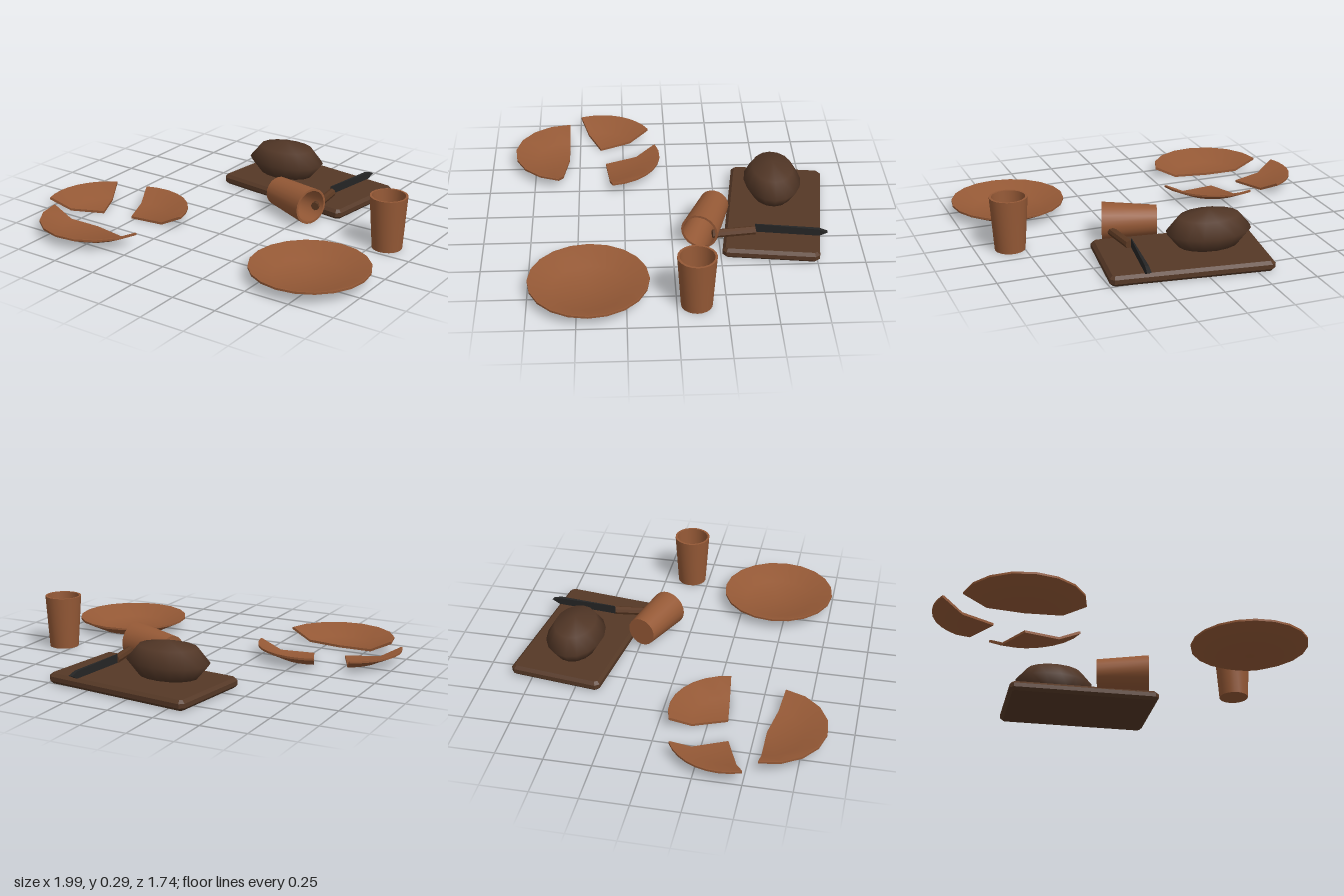
import * as THREE from 'three';
import { toCreasedNormals } from 'three/addons/utils/BufferGeometryUtils.js';

const clay = new THREE.MeshStandardMaterial({ color: 0x955936, side: THREE.DoubleSide });
clay.name = 'terracotta';
const wood = new THREE.MeshStandardMaterial({ color: 0x553826 });
wood.name = 'dark wood';
const crust = new THREE.MeshStandardMaterial({ color: 0x513626 });
crust.name = 'bread crust';
const grip = new THREE.MeshStandardMaterial({ color: 0x5a3822 });
grip.name = 'handle wood';
const iron = new THREE.MeshStandardMaterial({ color: 0x252525 });
iron.name = 'dark iron';

const points = (list) => list.map(([x, y]) => new THREE.Vector2(x, y));
const plateProfile = points([[0, 0], [0.19, 0], [0.31, 0.057], [0.31, 0.068], [0.3, 0.068], [0.19, 0.013], [0, 0.013]]);
const cupProfile = points([[0, 0], [0.08, 0], [0.1, 0.29], [0.088, 0.29], [0.072, 0.02], [0, 0.02]]);

function addMesh(parent, name, geometry, material) {
  const mesh = new THREE.Mesh(geometry, material);
  mesh.name = name;
  parent.add(mesh);
  return mesh;
}

function lathe(profile, segments, start = 0, length = Math.PI * 2) {
  return toCreasedNormals(new THREE.LatheGeometry(profile, segments, start, length), 0.52);
}

// A plate sector between two angles (degrees from +x towards +z), closed at both breaks
function addShard(parent, x, z, from, to, segments) {
  const rad = THREE.MathUtils.degToRad;
  const shard = new THREE.Group();
  shard.name = 'plateShard';
  shard.position.set(x, 0, z);
  addMesh(shard, 'shardDish', lathe(plateProfile, segments, rad(90 - to), rad(to - from)), clay);
  for (const angle of [from, to]) {
    const edge = addMesh(shard, 'brokenEdge', new THREE.ShapeGeometry(new THREE.Shape(plateProfile)), clay);
    edge.rotation.y = -rad(angle);
  }
  parent.add(shard);
}

export function createModel() {
  const model = new THREE.Group();
  model.name = 'tableware';

  // Whole plate and the broken one
  addMesh(model, 'plate', lathe(plateProfile, 20), clay).position.set(0.68, 0, 0.44);
  addShard(model, -0.58, 0.56, 10, 180, 8);
  addShard(model, -0.52, 0.35, -112, -7, 8);
  addShard(model, -0.69, 0.38, 158, 245, 8);

  // Standing cup and tipped cup
  addMesh(model, 'standingCup', lathe(cupProfile, 20), clay).position.set(0.82, 0, -0.1);
  const tipped = addMesh(model, 'tippedCup', lathe(cupProfile, 20), clay);
  tipped.position.set(0.055, 0.1, -0.237);
  tipped.rotation.set(0, -0.34, -Math.PI / 2);

  // Cutting board with chamfered edges and corners
  const bevel = 0.016, w = 0.425 - bevel, d = 0.254 - bevel, c = 0.012;
  const outline = new THREE.Shape(points([
    [-w + c, -d], [w - c, -d], [w, -d + c], [w, d - c],
    [w - c, d], [-w + c, d], [-w, d - c], [-w, -d + c],
  ]));
  const boardGeometry = new THREE.ExtrudeGeometry(outline, {
    depth: 0.055 - 2 * bevel, bevelEnabled: true, bevelSize: bevel, bevelThickness: bevel, bevelSegments: 1,
  });
  boardGeometry.rotateX(-Math.PI / 2);
  const board = addMesh(model, 'cuttingBoard', boardGeometry, wood);
  board.position.set(0.047, bevel, -0.563);
  board.rotation.y = -0.133;

  // Loaf of bread
  const loaf = addMesh(model, 'loaf', new THREE.SphereGeometry(1, 16, 4), crust);
  loaf.scale.set(0.228, 0.11, 0.156);
  loaf.position.set(-0.1, 0.15, -0.565);

  // Knife: round handle reaching into the tipped cup, blade thickening to its point
  const knife = new THREE.Group();
  knife.name = 'knife';
  const handleGeometry = toCreasedNormals(new THREE.CylinderGeometry(0.023, 0.023, 0.23, 8), 0.5);
  handleGeometry.rotateX(Math.PI / 2);
  const handle = addMesh(knife, 'knifeHandle', handleGeometry, grip);
  handle.position.set(0.297, 0.072, -0.325);
  handle.rotation.y = 0.12;

  const bladeShape = new THREE.Shape(points([[0, 0.056], [0.34, 0.056], [0.382, 0.078], [0.335, 0.094], [0, 0.104]]));
  const bladeGeometry = new THREE.ExtrudeGeometry(bladeShape, { depth: 1, bevelEnabled: false });
  const pos = bladeGeometry.attributes.position;
  for (let i = 0; i < pos.count; i++) {
    pos.setZ(i, (pos.getZ(i) - 0.5) * (0.004 + 0.048 * pos.getX(i)));
  }
  bladeGeometry.computeVertexNormals();
  const blade = addMesh(knife, 'knifeBlade', bladeGeometry, iron);
  blade.position.set(0.273, 0, -0.44);
  blade.rotation.y = Math.atan2(0.38, 0.05);
  model.add(knife);

  return model;
}
